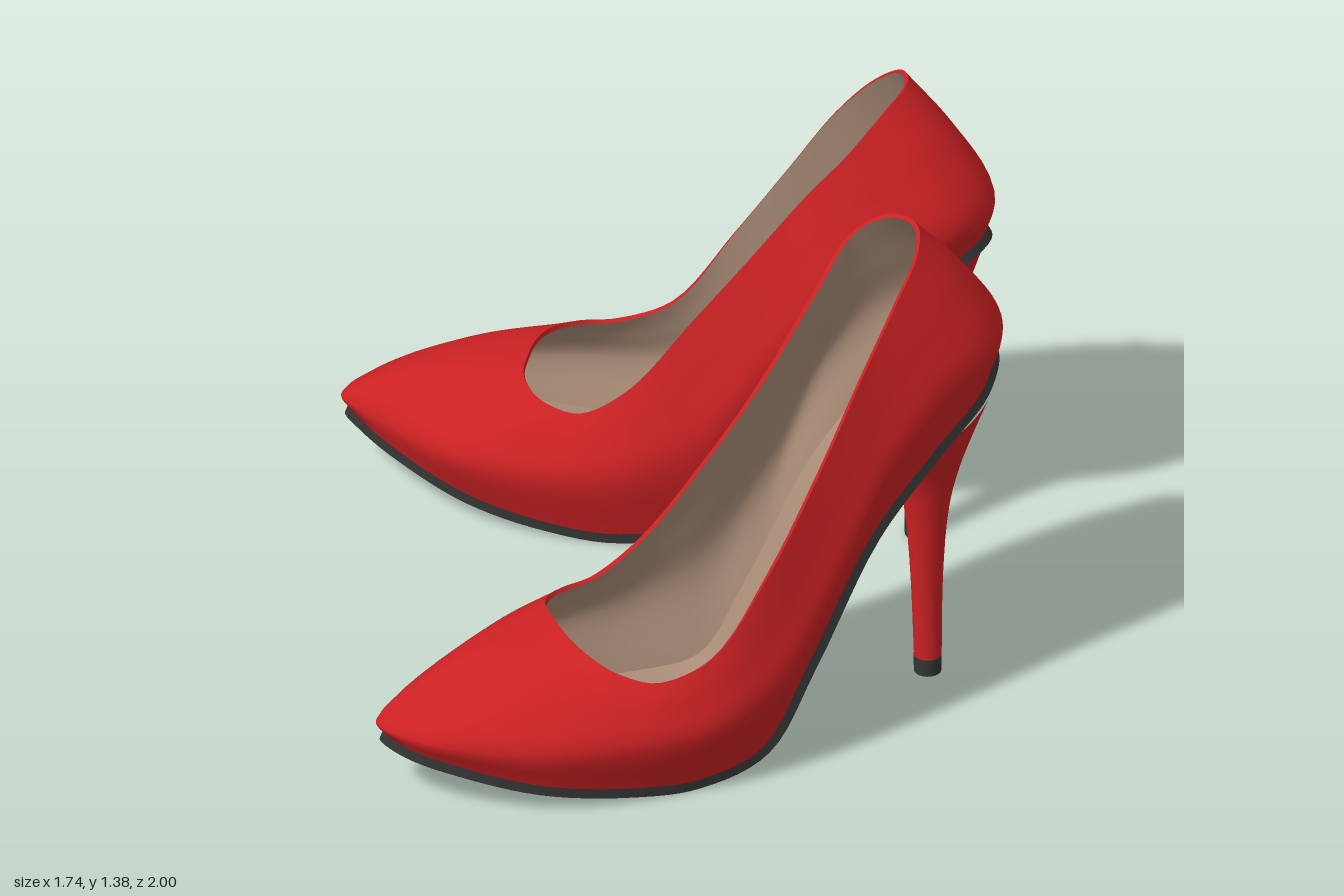
import * as THREE from 'three';

const red = new THREE.MeshStandardMaterial({ color: 0xcb2123 });
red.name = 'red leather';
const dark = new THREE.MeshStandardMaterial({ color: 0x343434 });
dark.name = 'dark rubber';
const tan = new THREE.MeshStandardMaterial({ color: 0xa98c77 });
tan.name = 'tan lining';

// Closed loops of [along, height, across]: toe, outer side, heel back, inner side
const SOLE = [
  [0.01, 0.145, 0], [0.05, 0.13, 0.085], [0.16, 0.1, 0.17], [0.36, 0.053, 0.265],
  [0.6, 0.017, 0.305], [0.8, 0.001, 0.3], [1.0, 0.045, 0.265], [1.14, 0.27, 0.247],
  [1.33, 0.605, 0.21], [1.52, 0.795, 0.165], [1.68, 0.9, 0.085], [1.755, 0.945, -0.06],
  [1.68, 0.9, -0.19], [1.52, 0.795, -0.238], [1.33, 0.605, -0.225], [1.14, 0.27, -0.213],
  [1.0, 0.045, -0.225], [0.8, 0.001, -0.26], [0.6, 0.017, -0.265], [0.38, 0.05, -0.225],
  [0.17, 0.098, -0.125], [0.06, 0.128, -0.05],
];
const BULGE = [
  [0, 0.2, 0], [0.045, 0.2, 0.095], [0.15, 0.2, 0.195], [0.36, 0.19, 0.3],
  [0.6, 0.19, 0.349], [0.8, 0.2, 0.36], [1.0, 0.28, 0.335], [1.18, 0.55, 0.293],
  [1.36, 0.85, 0.235], [1.52, 1.0, 0.188], [1.69, 1.05, 0.1], [1.76, 1.06, -0.06],
  [1.69, 1.05, -0.215], [1.52, 1.0, -0.292], [1.35, 0.85, -0.298], [1.17, 0.57, -0.258],
  [1.0, 0.32, -0.267], [0.8, 0.22, -0.303], [0.6, 0.2, -0.307], [0.37, 0.2, -0.262],
  [0.15, 0.2, -0.125], [0.05, 0.2, -0.055],
];
const RIM = [
  [0.505, 0.4, -0.02], [0.512, 0.395, 0.08], [0.54, 0.38, 0.165], [0.59, 0.36, 0.235],
  [0.68, 0.345, 0.29], [0.82, 0.4, 0.315], [0.99, 0.64, 0.312], [1.14, 0.88, 0.268],
  [1.28, 1.11, 0.21], [1.4, 1.27, 0.14], [1.49, 1.36, 0.06], [1.526, 1.385, -0.045],
  [1.49, 1.36, -0.155], [1.41, 1.27, -0.235], [1.29, 1.11, -0.215], [1.14, 0.89, -0.194],
  [0.98, 0.67, -0.2], [0.82, 0.46, -0.228], [0.69, 0.37, -0.23], [0.6, 0.37, -0.205],
  [0.55, 0.38, -0.17], [0.512, 0.395, -0.11],
];
// Heel rings: height, front, back, half width, tilt
const HEEL = [
  [0.05, 1.52, 1.593, 0.036, 0], [0.3, 1.51, 1.597, 0.04, 0], [0.5, 1.495, 1.612, 0.058, 0.05],
  [0.62, 1.475, 1.64, 0.085, 0.2], [0.72, 1.44, 1.685, 0.125, 0.45],
  [0.785, 1.41, 1.72, 0.16, 0.62], [0.83, 1.42, 1.74, 0.18, 0.72],
];
const COLS = 132, ROWS = 18, CROSS = 8;

// Skin over rows of points; closed joins the last column to the first
function skin(rows, closed, flip) {
  const n = rows[0].length, idx = [];
  for (let r = 0; r < rows.length - 1; r++) {
    for (let c = 0; c < (closed ? n : n - 1); c++) {
      const a = r * n + c, b = r * n + (c + 1) % n, d = a + n, e = b + n;
      if (flip) idx.push(a, d, b, b, d, e);
      else idx.push(a, b, d, b, e, d);
    }
  }
  const geo = new THREE.BufferGeometry().setFromPoints(rows.flat());
  geo.setIndex(idx);
  geo.computeVertexNormals();
  return geo;
}

function normalAt(geo, i) {
  return new THREE.Vector3().fromBufferAttribute(geo.attributes.normal, i);
}

function sampleLoop(table, side) {
  const pts = table.map(([s, y, t]) => new THREE.Vector3(s, y, t * side));
  const curve = new THREE.CatmullRomCurve3(pts, true, 'centripetal');
  return Array.from({ length: COLS }, (_, j) => curve.getPoint(j / COLS));
}

// Rows running from the outer edge to the inner edge of a loop
function crossRows(loop) {
  return Array.from({ length: COLS / 2 + 1 }, (_, j) => Array.from({ length: CROSS + 1 },
    (_, k) => loop[j].clone().lerp(loop[(COLS - j) % COLS], k / CROSS)));
}

function createShoe(name, side) {
  const shoe = new THREE.Group();
  shoe.name = name;
  const flip = side < 0;
  const add = (part, geo, mat) => {
    const mesh = new THREE.Mesh(geo, mat);
    mesh.name = part;
    shoe.add(mesh);
    return mesh;
  };

  // Outsole with its edge band
  const sole = sampleLoop(SOLE, side);
  const soleGeo = skin(crossRows(sole), false, flip);
  add('outsole', soleGeo, dark);
  const raise = (loop, d) => loop.map((p, j) => {
    const row = Math.min(j, COLS - j);
    return p.clone().addScaledVector(normalAt(soleGeo, row * (CROSS + 1) + CROSS / 2), -d);
  });
  const welt = raise(sole, 0.028);
  add('soleEdge', skin([sole, welt], true, flip), dark);

  // Upper, swept from the sole edge over the bulge to the opening
  const bulge = sampleLoop(BULGE, side), rim = sampleLoop(RIM, side);
  const columns = welt.map((p, j) => {
    const shoulder = bulge[j].clone().lerp(rim[j], 0.45);
    const gap = Math.hypot(rim[j].x - bulge[j].x, rim[j].z - bulge[j].z);
    shoulder.y += (rim[j].y - bulge[j].y) * 0.05 + gap * 0.06;
    return new THREE.CatmullRomCurve3([p, bulge[j], shoulder, rim[j]], false, 'centripetal');
  });
  const upperRows = Array.from({ length: ROWS + 1 }, (_, r) => columns.map((c) => c.getPoint(r / ROWS)));
  const upperGeo = skin(upperRows, true, flip);
  add('upper', upperGeo, red);

  // Lining, set just inside the upper, and the folded edge between them
  const liningRows = upperRows.map((row, r) => row.map((p, c) =>
    p.clone().addScaledVector(normalAt(upperGeo, r * COLS + c), -0.012)));
  add('lining', skin(liningRows, true, !flip), tan);
  add('openingEdge', skin([upperRows[ROWS], liningRows[ROWS]], true, flip), red);
  add('insole', skin(crossRows(raise(sole, 0.036)), false, !flip), tan);

  // Stiletto heel, flaring out to meet the sole
  const heelCurves = Array.from({ length: 32 }, (_, j) => {
    const a = (j / 32) * Math.PI * 2;
    return new THREE.CatmullRomCurve3(HEEL.map(([y, f, b, w, tilt]) => {
      const ds = -Math.cos(a) * (b - f) / 2;
      return new THREE.Vector3((f + b) / 2 + ds, y + tilt * ds, (-0.045 + w * Math.sin(a)) * side);
    }));
  });
  const heelRows = Array.from({ length: 25 }, (_, r) => heelCurves.map((c) => c.getPoint(r / 24)));
  add('heel', skin(heelRows, true, flip), red);
  const tip = add('heelTip', new THREE.CylinderGeometry(0.037, 0.036, 0.05, 32), dark);
  tip.position.set(1.556, 0.025, -0.045 * side);
  return shoe;
}

export function createModel() {
  const model = new THREE.Group();
  model.name = 'pairOfHighHeels';
  const front = createShoe('frontShoe', 1);
  front.position.set(-0.88, 0, 0.79);
  front.rotation.y = 0.2465;
  const back = createShoe('backShoe', -1);
  back.position.set(-0.8, 0, -0.83);
  back.rotation.y = -0.315;
  model.add(front, back);
  return model;
}
